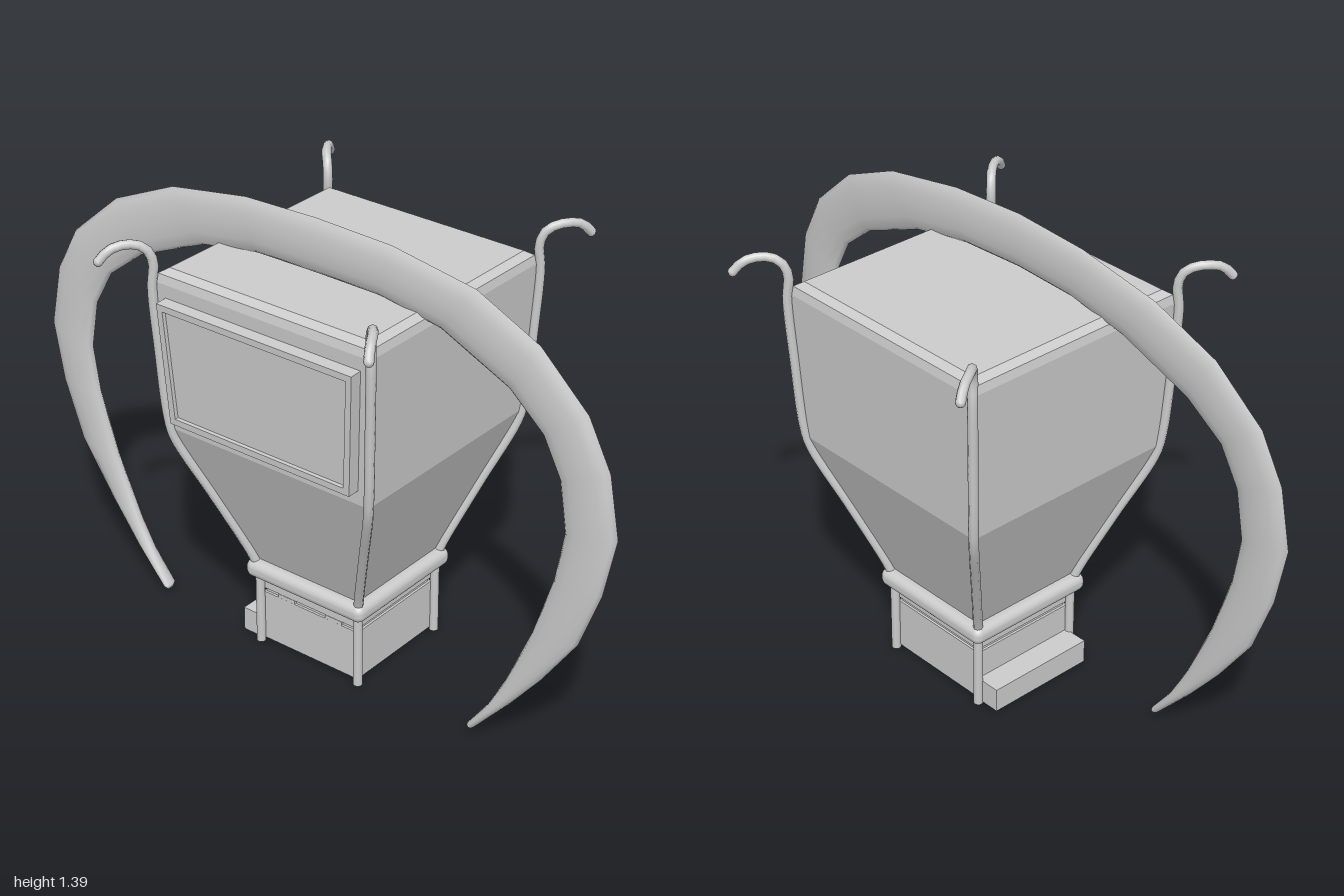
import * as THREE from 'three';
import { RoundedBoxGeometry } from 'three/addons/geometries/RoundedBoxGeometry.js';

const grey = new THREE.MeshStandardMaterial({ color: 0xcccccc });
const flat = new THREE.MeshStandardMaterial({ color: 0xcccccc, flatShading: true });

// Skin a list of equal-length rings of Vector3, with both ends capped.
function loft(rings) {
  const n = rings[0].length, last = (rings.length - 1) * n, index = [];
  for (let i = 0; i < rings.length - 1; i++) {
    for (let j = 0; j < n; j++) {
      const k = (j + 1) % n, a = i * n + j, b = i * n + k;
      index.push(a, b, b + n, a, b + n, a + n);
    }
  }
  for (let j = 1; j < n - 1; j++) {
    index.push(0, j + 1, j, last, last + j, last + j + 1);
  }
  const g = new THREE.BufferGeometry().setFromPoints(rings.flat());
  g.setIndex(index);
  g.computeVertexNormals();
  return g;
}

const squareRing = ([y, s]) =>
  [[1, 1], [1, -1], [-1, -1], [-1, 1]].map(([x, z]) => new THREE.Vector3(x * s, y, z * s));

// Trapezoid outline, wider at the top
function trapezoid(path, top, bottom, y0, y1) {
  path.moveTo(-bottom, y0);
  path.lineTo(bottom, y0);
  path.lineTo(top, y1);
  path.lineTo(-top, y1);
  path.closePath();
  return path;
}

// Curved horn: outer edge, inner edge and depth for one half, from apex to tip
const hornHalf = [
  [0, 1.395, 0, 1.235, 0.135],
  [0.25, 1.385, 0.21, 1.23, 0.13],
  [0.52, 1.34, 0.41, 1.195, 0.127],
  [0.73, 1.25, 0.64, 1.1, 0.138],
  [0.89, 1.11, 0.755, 1.01, 0.148],
  [0.965, 0.97, 0.815, 0.9, 0.152],
  [1, 0.79, 0.84, 0.75, 0.155],
  [0.965, 0.61, 0.815, 0.6, 0.157],
  [0.9, 0.43, 0.755, 0.41, 0.157],
  [0.79, 0.27, 0.675, 0.22, 0.157],
  [0.69, 0.145, 0.62, 0.115, 0.157],
  [0.58, 0.02, 0.558, 0.03, 0.157],
  [0.568, 0.012, 0.562, 0.015, 0.157],
];

function hornGeometry() {
  const left = hornHalf.slice(1).reverse().map(([a, b, c, d, z]) => [-a, b, -c, d, z]);
  const rings = [...left, ...hornHalf].map(([ox, oy, ix, iy, z], i, all) => {
    const end = i === 0 || i === all.length - 1;
    const half = end ? 0.012 : 0.022;
    return Array.from({ length: 12 }, (_, j) => {
      const t = (j / 12) * Math.PI * 2, c = Math.cos(t) / 2;
      return new THREE.Vector3(
        (ox + ix) / 2 + (ox - ix) * c, (oy + iy) / 2 + (oy - iy) * c, z + half * Math.sin(t));
    });
  });
  return loft(rings);
}

export function createModel() {
  const model = new THREE.Group();
  const add = (name, geometry, x = 0, y = 0, z = 0, material = grey) => {
    const mesh = new THREE.Mesh(geometry, material);
    mesh.name = name;
    mesh.position.set(x, y, z);
    model.add(mesh);
    return mesh;
  };

  // Flared square housing with a bevelled top
  const profile = [[0.25, 0.17], [0.29, 0.185], [0.73, 0.35], [1.185, 0.37], [1.21, 0.364], [1.225, 0.342]];
  add('housing', loft(profile.map(squareRing)), 0, 0, 0, flat);

  // Base with a shallow groove, collar and side step
  add('baseLower', new THREE.BoxGeometry(0.35, 0.16, 0.35), 0, 0.09, 0);
  add('baseGroove', new THREE.BoxGeometry(0.335, 0.02, 0.335), 0, 0.177, 0);
  add('baseUpper', new THREE.BoxGeometry(0.35, 0.06, 0.35), 0, 0.213, 0);
  add('collar', new RoundedBoxGeometry(0.43, 0.056, 0.43, 3, 0.024), 0, 0.254, 0);
  add('sideStep', new THREE.BoxGeometry(0.08, 0.075, 0.35), -0.212, 0.0425, 0);
  for (const side of [-1, 1]) {
    add('ventSlot', new THREE.BoxGeometry(0.06, 0.012, 0.012), side * 0.087, 0.177, 0.17);
  }

  // Corner posts, and edge rods that end in outward hooks
  const rodPath = [
    [0.185, 0.26], [0.2, 0.31], [0.27, 0.5], [0.345, 0.7], [0.356, 0.77], [0.368, 0.98],
    [0.376, 1.17], [0.372, 1.24], [0.382, 1.278], [0.4, 1.295],
  ];
  const hookEnd = [[0.423, 1.3, 0.43], [0.445, 1.29, 0.468], [0.46, 1.262, 0.492]];
  for (const sx of [-1, 1]) {
    for (const sz of [-1, 1]) {
      const points = [...rodPath.map(([s, y]) => [s, y, s]), ...hookEnd]
        .map(([x, y, z]) => new THREE.Vector3(x * sx, y, z * sz));
      const curve = new THREE.CatmullRomCurve3(points, false, 'centripetal');
      add('edgeRod', new THREE.TubeGeometry(curve, 48, 0.014, 8));
      const tip = add('hookTip', new THREE.SphereGeometry(0.014, 8, 6));
      tip.position.copy(points[points.length - 1]);
      add('cornerPost', new THREE.CylinderGeometry(0.014, 0.014, 0.25, 10), sx * 0.181, 0.125, sz * 0.181);
    }
  }

  // Framed display panel leaning with the front face
  const screen = new THREE.Group();
  screen.name = 'displayPanel';
  const outline = trapezoid(new THREE.Shape(), 0.336, 0.316, 0, 0.37);
  outline.holes.push(trapezoid(new THREE.Path(), 0.316, 0.297, 0.02, 0.35));
  const frame = new THREE.Mesh(new THREE.ExtrudeGeometry(outline, { depth: 0.04, bevelEnabled: false }), grey);
  frame.name = 'displayFrame';
  const inset = trapezoid(new THREE.Shape(), 0.325, 0.306, 0.01, 0.36);
  const face = new THREE.Mesh(new THREE.ExtrudeGeometry(inset, { depth: 0.028, bevelEnabled: false }), grey);
  face.name = 'displayFace';
  screen.add(frame, face);
  screen.position.set(0, 0.775, 0.35);
  screen.rotation.x = 0.044;
  model.add(screen);

  // Great arched horn passing over the housing
  add('archedHorn', hornGeometry());

  return model;
}
